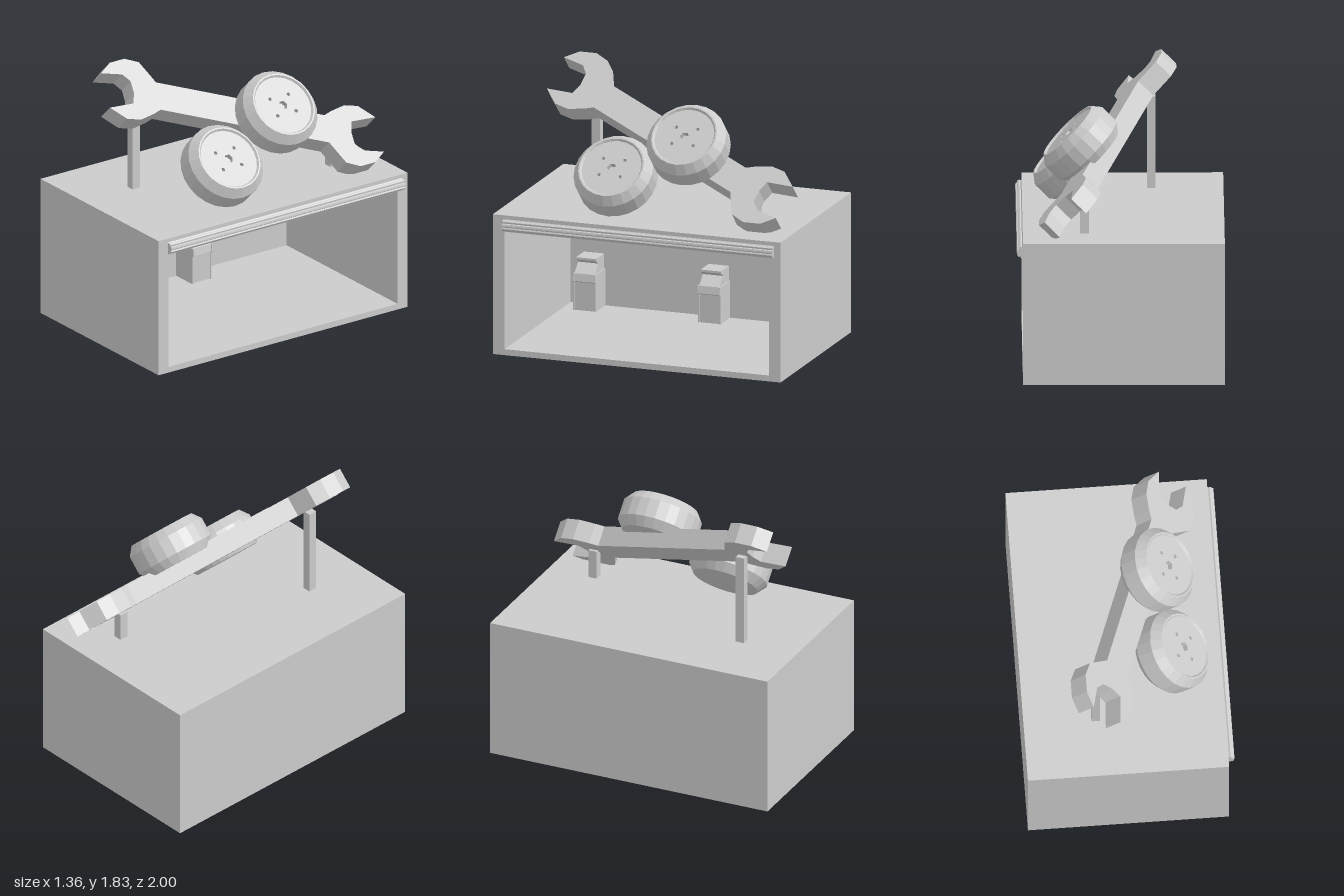
import * as THREE from 'three';

const mat = new THREE.MeshStandardMaterial({ color: 0xcccccc, flatShading: true });

function add(parent, name, geometry) {
  const mesh = new THREE.Mesh(geometry, mat);
  mesh.name = name;
  parent.add(mesh);
  return mesh;
}

// Box given by its minimum and maximum corners
function block(parent, name, x0, x1, y0, y1, z0, z1) {
  const mesh = add(parent, name, new THREE.BoxGeometry(x1 - x0, y1 - y0, z1 - z0));
  mesh.position.set((x0 + x1) / 2, (y0 + y1) / 2, (z0 + z1) / 2);
  return mesh;
}

const toShape = (pts) => new THREE.Shape(pts.map(([x, y]) => new THREE.Vector2(x, y)));

function extrude(shape, depth) {
  return new THREE.ExtrudeGeometry(shape, { depth, bevelEnabled: false, curveSegments: 16 });
}

function polygonHole(x, y, r, sides) {
  const path = new THREE.Path();
  for (let i = 0; i < sides; i++) {
    const a = (i / sides) * Math.PI * 2;
    path[i ? 'lineTo' : 'moveTo'](x + r * Math.cos(a), y + r * Math.sin(a));
  }
  path.closePath();
  return path;
}

// Wheel with its axis along local z, back at z = 0
function makeWheel() {
  const wheel = new THREE.Group();
  wheel.name = 'wheel';
  const profile = [
    [0, 0], [0.22, 0], [0.268, 0.06], [0.268, 0.185], [0.222, 0.245],
    [0.212, 0.245], [0.2, 0.23], [0.19, 0.23],
  ].map(([r, h]) => new THREE.Vector2(r, h));
  const tyre = new THREE.LatheGeometry(profile, 24);
  tyre.rotateX(Math.PI / 2);
  add(wheel, 'tyre', tyre);

  // Rim disc with a hexagonal centre hole and four bolt holes
  const disc = new THREE.Shape();
  disc.absarc(0, 0, 0.202, 0, Math.PI * 2);
  disc.holes.push(polygonHole(0, 0, 0.032, 6));
  for (const sx of [-1, 1]) {
    for (const sy of [-1, 1]) disc.holes.push(polygonHole(sx * 0.074, sy * 0.062, 0.013, 8));
  }
  add(wheel, 'rim', extrude(disc, 0.04)).position.z = 0.192;
  const floor = add(wheel, 'rimFloor', new THREE.CircleGeometry(0.2, 24));
  floor.position.z = 0.195;
  return wheel;
}

// Double open-ended spanner: one half outline, repeated by a half turn
function makeSpanner() {
  const half = [
    [-0.573, 0.167], [-0.632, 0.152], [-0.745, 0.137], [-0.841, 0.167], [-0.927, 0.273],
    [-0.745, 0.258], [-0.707, 0.326], [-0.691, 0.41], [-0.728, 0.47], [-0.873, 0.516],
    [-0.777, 0.57], [-0.659, 0.57], [-0.568, 0.52], [-0.514, 0.356],
  ];
  const outline = [...half, ...half.map(([x, y]) => [-x, -y])];
  return extrude(toShape(outline), 0.138);
}

// Small upright cabinet with a sloped screen and an overhanging header
function makeCabinet() {
  const cabinet = new THREE.Group();
  cabinet.name = 'cabinet';
  const body = [
    [0, 0], [0.17, 0], [0.17, 0.19], [0.19, 0.2], [0.18, 0.25], [0.11, 0.31],
    [0.15, 0.335], [0.15, 0.35], [0, 0.35],
  ];
  const side = [[0, 0], [0.18, 0], [0.18, 0.19], [0.195, 0.2], [0.19, 0.25], [0, 0.25]];
  add(cabinet, 'cabinetBody', extrude(toShape(body), 0.14)).position.z = -0.07;
  for (const z of [-0.078, 0.07]) {
    add(cabinet, 'cabinetSide', extrude(toShape(side), 0.008)).position.z = z;
  }
  return cabinet;
}

export function createModel() {
  const model = new THREE.Group();

  // Hollow building, open on its left (+x) side
  const building = new THREE.Group();
  building.name = 'building';
  model.add(building);
  block(building, 'floor', -0.68, 0.635, 0, 0.04, -1, 1);
  block(building, 'roof', -0.68, 0.635, 0.905, 0.945, -1, 1);
  block(building, 'frontWall', -0.68, 0.635, 0.04, 0.905, 0.92, 1);
  block(building, 'rearWall', -0.68, 0.635, 0.04, 0.905, -1, -0.92);
  block(building, 'sideWall', -0.68, -0.6, 0.04, 0.905, -0.92, 0.92);

  // Rolled-up shutter with ridges
  const ridges = [];
  for (let i = 0; i < 32; i++) {
    const a = (i / 32) * Math.PI * 2;
    const r = i % 4 === 3 ? 0.034 : 0.042;
    ridges.push([r * Math.cos(a), r * Math.sin(a)]);
  }
  add(model, 'rolledShutter', extrude(toShape(ridges), 1.88)).position.set(0.634, 0.878, -0.955);

  // Cabinets inside
  for (const z of [0.757, -0.11]) {
    const cabinet = makeCabinet();
    cabinet.position.set(-0.6, 0.04, z);
    model.add(cabinet);
  }

  // Posts holding up the roof sign
  block(model, 'frontPost', -0.237, -0.18, 0.94, 1.56, 0.56, 0.62);
  block(model, 'rearPost', 0.203, 0.263, 0.94, 1.14, -0.71, -0.65);

  // Roof sign tilted 45 degrees: local x = -z, local y = up the slope, local z = outward
  const sign = new THREE.Group();
  sign.name = 'roofSign';
  const s = Math.SQRT1_2;
  sign.setRotationFromMatrix(new THREE.Matrix4().makeBasis(
    new THREE.Vector3(0, 0, -1), new THREE.Vector3(-s, s, 0), new THREE.Vector3(s, s, 0)));
  model.add(sign);
  add(sign, 'spanner', makeSpanner()).position.set(0.041, 0.922, 0.965);
  for (const [x, y, z] of [[-0.264, 0.617, 0.945], [0.219, 0.832, 1.07]]) {
    const wheel = makeWheel();
    wheel.position.set(x, y, z);
    sign.add(wheel);
  }
  return model;
}
